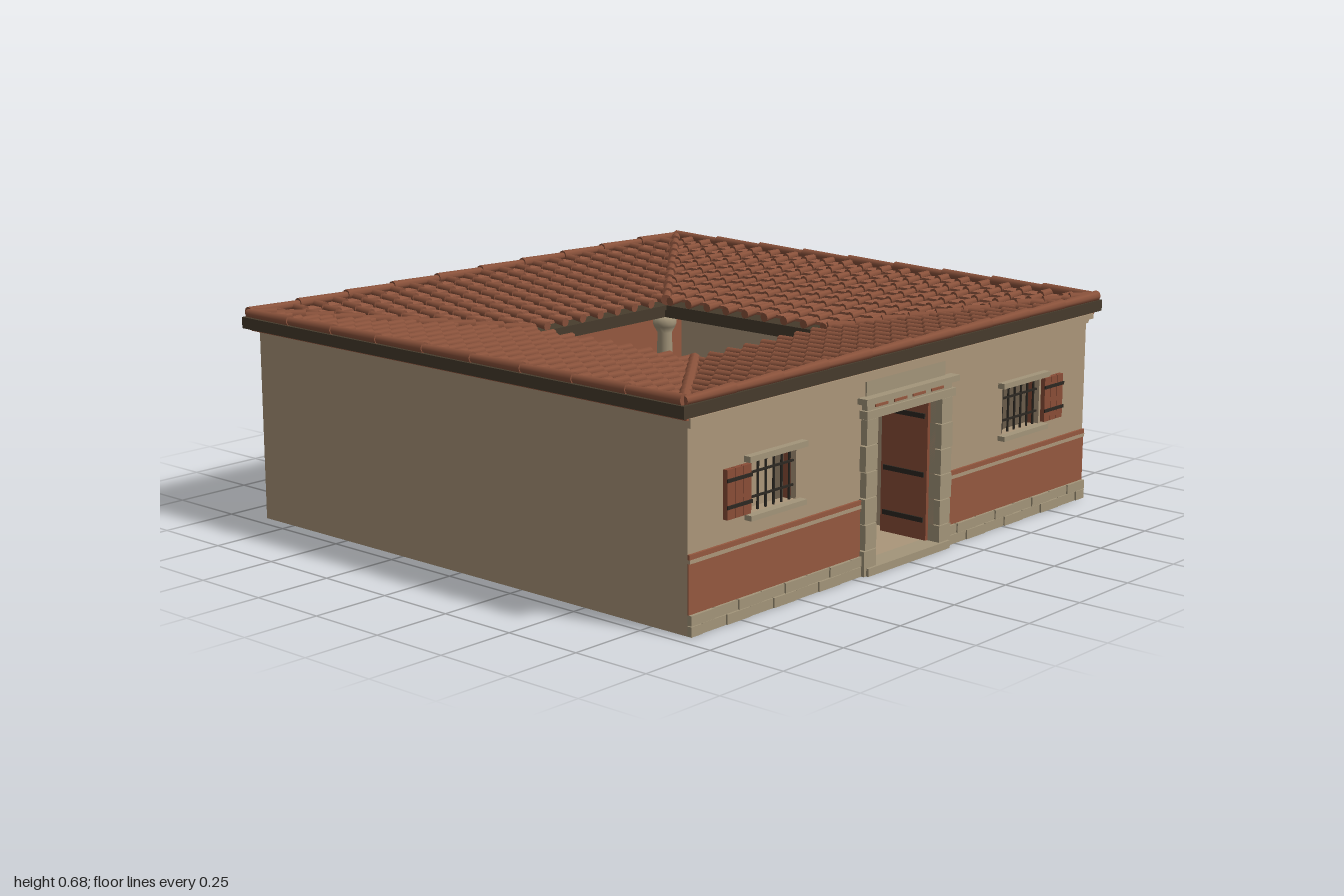
import * as THREE from 'three';
import { mergeGeometries } from 'three/addons/utils/BufferGeometryUtils.js';

const mat = (name, color, side = THREE.FrontSide) => {
  const m = new THREE.MeshStandardMaterial({ color, side });
  m.name = name;
  return m;
};

export function createModel() {
  const plaster = mat('plaster', 0xab967a);
  const stone = mat('stone', 0xa3957a);
  const red = mat('red paint', 0x95583f);
  const tile = mat('roof tile', 0x955a42, THREE.DoubleSide);
  const cover = mat('cover tile', 0x8a523b);
  const wood = mat('dark wood', 0x463b2c, THREE.DoubleSide);
  const water = mat('water', 0x4e7070);
  const iron = mat('iron', 0x2c2822);
  const shutterRed = mat('shutter wood', 0x8a4d37);

  const group = new THREE.Group();
  const add = (name, geos, material) => {
    const list = [].concat(geos).map(g => (g.index ? g.toNonIndexed() : g));
    const mesh = new THREE.Mesh(list.length > 1 ? mergeGeometries(list) : list[0], material);
    mesh.name = name;
    group.add(mesh);
  };
  // Box given by its limits on each axis
  const box = (x0, x1, y0, y1, z0, z1) =>
    new THREE.BoxGeometry(x1 - x0, y1 - y0, z1 - z0)
      .translate((x0 + x1) / 2, (y0 + y1) / 2, (z0 + z1) / 2);
  const mirrored = (x0, x1, ...r) => [box(x0, x1, ...r), box(-x1, -x0, ...r)];
  const rectPath = (C, x0, x1, y0, y1) => {
    const p = new C();
    p.moveTo(x0, y0); p.lineTo(x1, y0); p.lineTo(x1, y1); p.lineTo(x0, y1); p.closePath();
    return p;
  };
  // Flat rectangular ring around the courtyard axis
  const ring = (ox, oz, ix, iz, y0, y1) => {
    const s = rectPath(THREE.Shape, -ox, ox, -oz, oz);
    s.holes.push(rectPath(THREE.Path, -ix, ix, -iz, iz));
    return new THREE.ExtrudeGeometry(s, { depth: y1 - y0, bevelEnabled: false })
      .rotateX(-Math.PI / 2).translate(0, y0, 0);
  };
  // Tapered round tile from a to b
  const rod = (a, b, ra, rb, sides = 8) => {
    const d = b.clone().sub(a);
    const q = new THREE.Quaternion().setFromUnitVectors(new THREE.Vector3(0, 1, 0), d.clone().normalize());
    return new THREE.CylinderGeometry(rb, ra, d.length(), sides)
      .applyQuaternion(q).translate(...a.clone().add(b).multiplyScalar(0.5).toArray());
  };

  // Floor and outer walls
  add('floor', box(-0.955, 0.955, 0, 0.02, -0.88, 0.88), plaster);
  add('outerWalls', [
    box(-0.955, 0.955, 0.02, 0.62, -0.88, -0.84),
    ...mirrored(0.915, 0.955, 0.02, 0.62, -0.84, 0.84),
  ], plaster);
  const front = new THREE.Shape([[-0.955, 0.02], [-0.155, 0.02], [-0.155, 0.47], [0.155, 0.47],
    [0.155, 0.02], [0.955, 0.02], [0.955, 0.62], [-0.955, 0.62]].map(p => new THREE.Vector2(...p)));
  for (const s of [-1, 1])
    front.holes.push(rectPath(THREE.Path, s * 0.6 - 0.1, s * 0.6 + 0.1, 0.29, 0.44));
  add('frontWall', new THREE.ExtrudeGeometry(front, { depth: 0.04, bevelEnabled: false })
    .translate(0, 0, 0.84), plaster);

  // Inner partitions, entrance passage and painted panels
  add('partitions', [
    box(-0.74, 0.74, 0.02, 0.56, -0.66, -0.63),
    ...mirrored(0.71, 0.74, 0.02, 0.56, -0.63, 0.58),
    ...mirrored(0.2, 0.74, 0.02, 0.56, 0.55, 0.58),
    ...mirrored(0.2, 0.23, 0.02, 0.56, 0.58, 0.84),
  ], plaster);
  add('innerPaint', [
    box(-0.71, 0.71, 0.02, 0.18, -0.63, -0.624),
    box(-0.71, 0.71, 0.205, 0.47, -0.63, -0.624),
    box(-0.71, -0.704, 0.02, 0.2, -0.624, 0.55),
  ], red);

  // Front facade bands and stone base
  add('facadeDado', [
    ...mirrored(0.21, 0.955, 0.06, 0.203, 0.88, 0.885),
    ...mirrored(0.21, 0.955, 0.214, 0.228, 0.88, 0.888),
  ], red);
  add('facadeStripe', mirrored(0.21, 0.955, 0.203, 0.214, 0.88, 0.889), plaster);
  const blocks = [];
  for (let row = 0; row < 2; row++)
    for (let i = 0; i < 8; i++) {
      const x0 = 0.21 + i * 0.1 - row * 0.05;
      blocks.push(...mirrored(Math.max(0.21, x0), Math.min(0.955, x0 + 0.097),
        row * 0.031, row * 0.031 + 0.029, 0.88, 0.892 + (i % 2) * 0.003));
    }
  add('baseBlocks', blocks, stone);
  add('cornice', [
    box(-0.955, 0.955, 0.575, 0.588, 0.88, 0.89),
    box(-0.965, 0.965, 0.588, 0.605, 0.88, 0.9),
  ], plaster);

  // Doorway: block jambs, lintel, threshold and opened leaves
  const jambs = [];
  for (let i = 0; i < 6; i++)
    jambs.push(...mirrored(0.155, 0.211 - (i % 2) * 0.004, i * 0.078, i * 0.078 + 0.075, 0.86, 0.902));
  add('doorJambs', jambs, stone);
  add('doorLintel', [
    box(-0.215, 0.215, 0.468, 0.492, 0.86, 0.908),
    box(-0.205, 0.205, 0.492, 0.512, 0.86, 0.9),
    box(-0.225, 0.225, 0.512, 0.53, 0.86, 0.914),
    box(-0.19, 0.19, 0.53, 0.575, 0.88, 0.885),
  ], stone);
  add('lintelInlay', [-0.14, -0.05, 0.04, 0.13].map(x => box(x - 0.03, x + 0.03, 0.498, 0.506, 0.9, 0.903)), red);
  add('threshold', box(-0.2, 0.2, 0, 0.024, 0.84, 0.91), stone);
  add('doorLeaves', mirrored(0.143, 0.155, 0.025, 0.465, 0.69, 0.86), shutterRed);
  add('doorStraps', [0.08, 0.22, 0.4].flatMap(y => mirrored(0.138, 0.143, y, y + 0.015, 0.7, 0.85)), iron);

  // Barred windows with a shutter on the outer side
  const frames = [], bars = [], shutters = [], straps = [];
  for (const s of [-1, 1]) {
    const c = s * 0.6, h = s * 0.76;
    frames.push(box(c - 0.12, c + 0.12, 0.275, 0.29, 0.88, 0.905), box(c - 0.125, c + 0.125, 0.44, 0.457, 0.88, 0.903));
    for (let i = 0; i < 6; i++)
      bars.push(rod(new THREE.Vector3(c - 0.085 + i * 0.034, 0.29, 0.868), new THREE.Vector3(c - 0.085 + i * 0.034, 0.44, 0.868), 0.004, 0.004, 6));
    for (const y of [0.33, 0.4]) bars.push(box(c - 0.1, c + 0.1, y - 0.003, y + 0.003, 0.866, 0.872));
    for (let i = -1; i <= 1; i++) shutters.push(box(h + i * 0.034 - 0.016, h + i * 0.034 + 0.016, 0.295, 0.435, 0.88, 0.895));
    shutters.push(box(c - 0.1, c - 0.09, 0.29, 0.44, 0.842, 0.862), box(c + 0.09, c + 0.1, 0.29, 0.44, 0.842, 0.862));
    for (const y of [0.325, 0.4]) straps.push(box(h - 0.052, h + 0.052, y, y + 0.01, 0.895, 0.899));
  }
  add('windowFrames', frames, stone);
  add('windowBars', bars, iron);
  add('shutters', shutters, shutterRed);
  add('shutterStraps', straps, iron);

  // Courtyard pool, paved rim, columns and table
  add('pool', box(-0.25, 0.25, 0.02, 0.03, -0.29, 0.28), water);
  const rim = [];
  for (let i = 0; i < 6; i++) {
    const x = -0.285 + i * 0.095, z = -0.29 + i * 0.095;
    for (const [z0, z1] of [[-0.33, -0.29], [0.28, 0.325]]) rim.push(box(x + 0.001, x + 0.094, 0.02, 0.045, z0, z1));
    rim.push(...mirrored(0.245, 0.285, 0.02, 0.045, z + 0.001, z + 0.094));
  }
  add('poolRim', rim, stone);
  const column = new THREE.LatheGeometry([[0.001, 0.02], [0.045, 0.02], [0.045, 0.04], [0.034, 0.055],
    [0.029, 0.07], [0.025, 0.47], [0.036, 0.49], [0.04, 0.5], [0.04, 0.525], [0.001, 0.525]]
    .map(p => new THREE.Vector2(...p)), 14);
  add('columns', [-1, 1].flatMap(a => [-1, 1].map(b => column.clone().translate(a * 0.335, 0, b * 0.365))), stone);
  add('table', [
    box(-0.58, -0.24, 0.175, 0.2, -0.56, -0.44),
    box(-0.53, -0.49, 0.02, 0.175, -0.55, -0.45),
    box(-0.33, -0.29, 0.02, 0.175, -0.55, -0.45),
  ], stone);

  // Eaves and the beams around the opening
  add('eaveMoulding', ring(0.975, 0.895, 0.95, 0.87, 0.6, 0.612), red);
  add('eaveBoard', ring(1, 0.908, 0.94, 0.86, 0.61, 0.645), wood);
  add('openingBeams', ring(0.36, 0.39, 0.315, 0.345, 0.525, 0.56), wood);

  // Four slopes falling inward, each with stepped pans and rows of cover tiles
  const OX = 0.985, OZ = 0.895, IX = 0.315, IZ = 0.34;
  const lerp = THREE.MathUtils.lerp;
  const quad = (a, b, c, d) => {
    const g = new THREE.BufferGeometry().setFromPoints([a, b, c, a, c, d]);
    g.setAttribute('uv', new THREE.Float32BufferAttribute(new Array(12).fill(0), 2));
    g.computeVertexNormals();
    return g;
  };
  const deck = [], pans = [], covers = [], caps = [];
  const roofY = t => 0.647 - 0.078 * t;
  for (const [alongX, s] of [[true, 1], [true, -1], [false, 1], [false, -1]]) {
    const [wo, wi, o, i] = alongX ? [OX, IX, OZ, IZ] : [OZ, IZ, OX, IX];
    const P = (u, t, h) => {
      const v = s * lerp(o, i, t), y = roofY(t) + h;
      return alongX ? new THREE.Vector3(s * u, y, v) : new THREE.Vector3(v, y, -s * u);
    };
    const w = t => lerp(wo, wi, t);
    const strip = (t0, t1, h0, h1) => quad(P(w(t0), t0, h0), P(w(t1), t1, h1), P(-w(t1), t1, h1), P(-w(t0), t0, h0));
    // Corners run outer to inner so the upper side faces out
    deck.push(strip(0, 1, -0.004, -0.004), strip(0, 1, -0.012, -0.012),
      quad(P(wi, 1, -0.004), P(wi, 1, -0.02), P(-wi, 1, -0.02), P(-wi, 1, -0.004)));
    const rows = Math.round((o - i) / 0.065), end = 0.93;
    for (let r = 0; r < rows; r++) {
      const t0 = (r / rows) * end, t1 = ((r + 1) / rows) * end;
      pans.push(strip(t0, t1, 0, 0.008),
        quad(P(w(t1), t1, 0.008), P(w(t1), t1, -0.002), P(-w(t1), t1, -0.002), P(-w(t1), t1, 0.008)));
    }
    const n = Math.floor(wo / 0.081);
    for (let k = -n; k <= n; k++) {
      const u = k * 0.081, tMax = Math.min(1, (wo - Math.abs(u)) / (wo - wi));
      for (let r = 0; r < rows; r++) {
        const t0 = r / rows, t1 = Math.min((r + 1) / rows, tMax);
        if (t1 - t0 > 0.02) covers.push(rod(P(u, t0, 0.006), P(u, t1, 0.01), 0.011, 0.015));
      }
    }
    // Edge caps on the eave and hip caps on the corner
    const m = Math.round(wo * 10);
    for (let k = 0; k < m; k++)
      caps.push(rod(P(lerp(-wo, wo, k / m), 0, 0.01), P(lerp(-wo, wo, (k + 1) / m), 0, 0.012), 0.013, 0.017));
    for (let k = 0; k < 10; k++)
      caps.push(rod(P(w(k / 10), k / 10, 0.01), P(w((k + 1) / 10), (k + 1) / 10, 0.014), 0.014, 0.018));
  }
  add('roofDeck', deck, wood);
  add('panTiles', pans, tile);
  add('coverTiles', covers, cover);
  add('ridgeCaps', caps, cover);
  return group;
}
